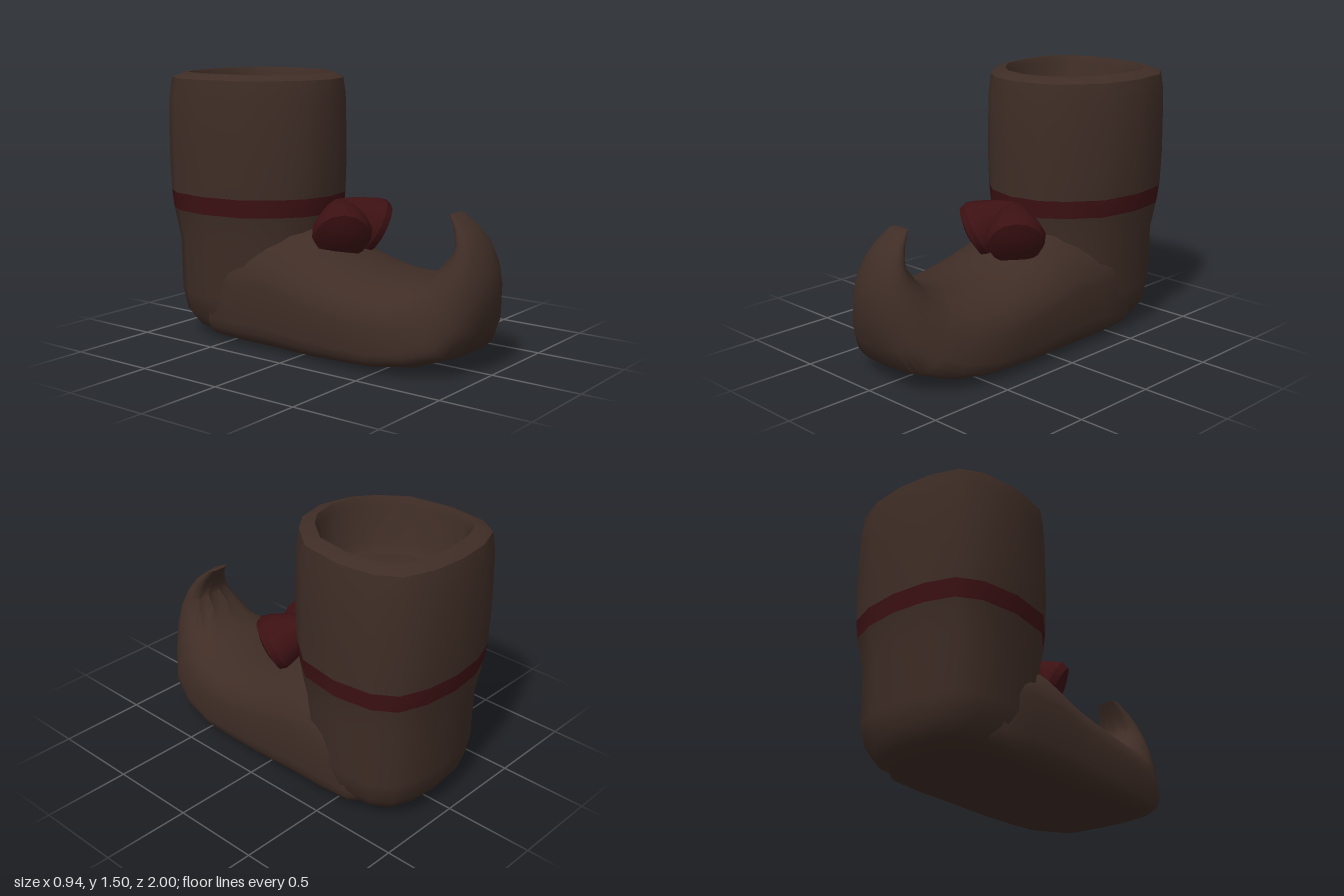
import * as THREE from 'three';
import { toCreasedNormals } from 'three/addons/utils/BufferGeometryUtils.js';

const brown = new THREE.MeshStandardMaterial({ color: 0x3f2d26 });
const red = new THREE.MeshStandardMaterial({ color: 0x3d1113 });

// Skin a list of equal-length rings (counter-clockwise about the travel direction).
function loft(rings, capStart, capEnd) {
  const n = rings[0].length;
  const pos = rings.flat().flatMap((p) => [p.x, p.y, p.z]);
  const index = [];
  for (let i = 0; i < rings.length - 1; i++) {
    for (let j = 0; j < n; j++) {
      const k = (j + 1) % n;
      const a = i * n + j, b = i * n + k, c = b + n, d = a + n;
      index.push(a, b, c, a, c, d);
    }
  }
  const cap = (i, flip) => {
    const m = rings[i].reduce((s, p) => s.add(p), new THREE.Vector3()).divideScalar(n);
    const centre = pos.length / 3;
    pos.push(m.x, m.y, m.z);
    for (let j = 0; j < n; j++) {
      const a = i * n + j, b = i * n + ((j + 1) % n);
      index.push(centre, flip ? b : a, flip ? a : b);
    }
  };
  if (capStart) cap(0, true);
  if (capEnd) cap(rings.length - 1, false);
  const g = new THREE.BufferGeometry();
  g.setAttribute('position', new THREE.Float32BufferAttribute(pos, 3));
  g.setIndex(index);
  return toCreasedNormals(g, 0.8);
}

// Plan outline of the leg, front to back on the left side, then mirrored.
const half = [[0, -0.03], [0.18, -0.07], [0.3, -0.16], [0.43, -0.33], [0.47, -0.58],
  [0.44, -0.8], [0.36, -0.92], [0.2, -0.98], [0, -1]];
const outline = [...half, ...half.slice(1, -1).reverse().map(([x, z]) => [-x, z])];
const legRing = ([y, s]) =>
  outline.map(([x, z]) => new THREE.Vector3(x * s, y, -0.52 + (z + 0.52) * s));

// Foot section between a sole point and an upper point, with half width w
// and the squareness of its upper half.
function footRing([zb, yb, zt, yt, w, high], i) {
  const n = 28, ring = [];
  const low = i < 7 ? 6 : Math.max(2, 6 - (i - 6) * 1.2); // flat sole rounding off at the toe
  for (let j = 0; j < n; j++) {
    const a = (j / n) * Math.PI * 2, c = Math.cos(a), s = Math.sin(a);
    const e = 2 / (s < 0 ? low : high);
    const x = Math.sign(c) * Math.pow(Math.abs(c), e) * w;
    let t = Math.sign(s) * Math.pow(Math.abs(s), e);
    if (i >= 10 && i <= 13 && (j === 5 || j === 7 || j === 9)) t -= 0.14; // creases inside the curl
    t = (t + 1) / 2;
    ring.push(new THREE.Vector3(x, yb + (yt - yb) * t, zb + (zt - zb) * t));
  }
  return ring;
}

export function createModel() {
  const boot = new THREE.Group();
  boot.name = 'boot';
  const add = (name, geometry, material, parent = boot) => {
    const mesh = new THREE.Mesh(geometry, material);
    mesh.name = name;
    parent.add(mesh);
    return mesh;
  };

  // Foot with the toe curling up and back
  const sections = [
    [-0.76, 0.06, -0.76, 0.5, 0.3, 2.5],
    [-0.6, 0.008, -0.6, 0.6, 0.4, 2.2],
    [-0.4, 0, -0.4, 0.7, 0.415, 1.8],
    [-0.2, 0, -0.14, 0.72, 0.415, 1.6],
    [0.1, 0, 0.04, 0.6, 0.415, 1.75],
    [0.3, 0.008, 0.18, 0.53, 0.415, 2],
    [0.5, 0.018, 0.31, 0.485, 0.41, 2.2],
    [0.71, 0.043, 0.5, 0.47, 0.375, 2.3],
    [0.88, 0.1, 0.62, 0.49, 0.32, 2.3],
    [0.965, 0.23, 0.7, 0.52, 0.265, 2.3],
    [1.0, 0.42, 0.76, 0.585, 0.21, 2.3],
    [0.99, 0.54, 0.81, 0.65, 0.165, 2.3],
    [0.945, 0.67, 0.81, 0.69, 0.13, 2.3],
    [0.89, 0.745, 0.79, 0.75, 0.1, 2.3],
    [0.8, 0.815, 0.755, 0.82, 0.065, 2.3],
  ];
  add('foot', loft(sections.map(footRing), true, true), brown);

  // Heel and ankle
  add('ankle', loft([[0.003, 0.3], [0.02, 0.58], [0.06, 0.74], [0.13, 0.84], [0.25, 0.89],
    [0.55, 0.9], [0.73, 0.966]].map(legRing), true, true), brown);

  // Ribbon around the leg
  add('band', loft([[0.73, 0.966], [0.83, 0.988]].map(legRing), false, false), red);

  // Hollow leg: outer wall, bevelled rim, inner wall and floor
  add('shaft', loft([[0.83, 0.988], [1.0, 1], [1.15, 1], [1.37, 0.99], [1.47, 0.96], [1.5, 0.82],
    [1.5, 0.79], [1.46, 0.75], [1.25, 0.73], [1.2, 0.66]].map(legRing), false, true), brown);

  // Bow: two padded loops flaring forward from a shared knot
  const bow = new THREE.Group();
  bow.name = 'bow';
  bow.position.set(0.04, 0.755, -0.01);
  boot.add(bow);
  const profile = [[0, -0.04], [0.05, -0.03], [0.1, 0.05], [0.15, 0.16], [0.165, 0.21],
    [0.15, 0.25], [0.08, 0.27], [0, 0.275]].map(([r, y]) => new THREE.Vector2(r, y));
  for (const side of [-1, 1]) {
    const loop = add(side > 0 ? 'leftBowLoop' : 'rightBowLoop',
      toCreasedNormals(new THREE.LatheGeometry(profile, 14), 0.6), red, bow);
    const direction = new THREE.Vector3(side * 0.19, -0.135, 0.165).normalize();
    loop.quaternion.setFromUnitVectors(new THREE.Vector3(0, 1, 0), direction);
  }
  const knot = add('bowKnot', new THREE.SphereGeometry(0.055, 12, 8), red, bow);
  knot.position.set(0, -0.01, 0.01);

  return boot;
}
